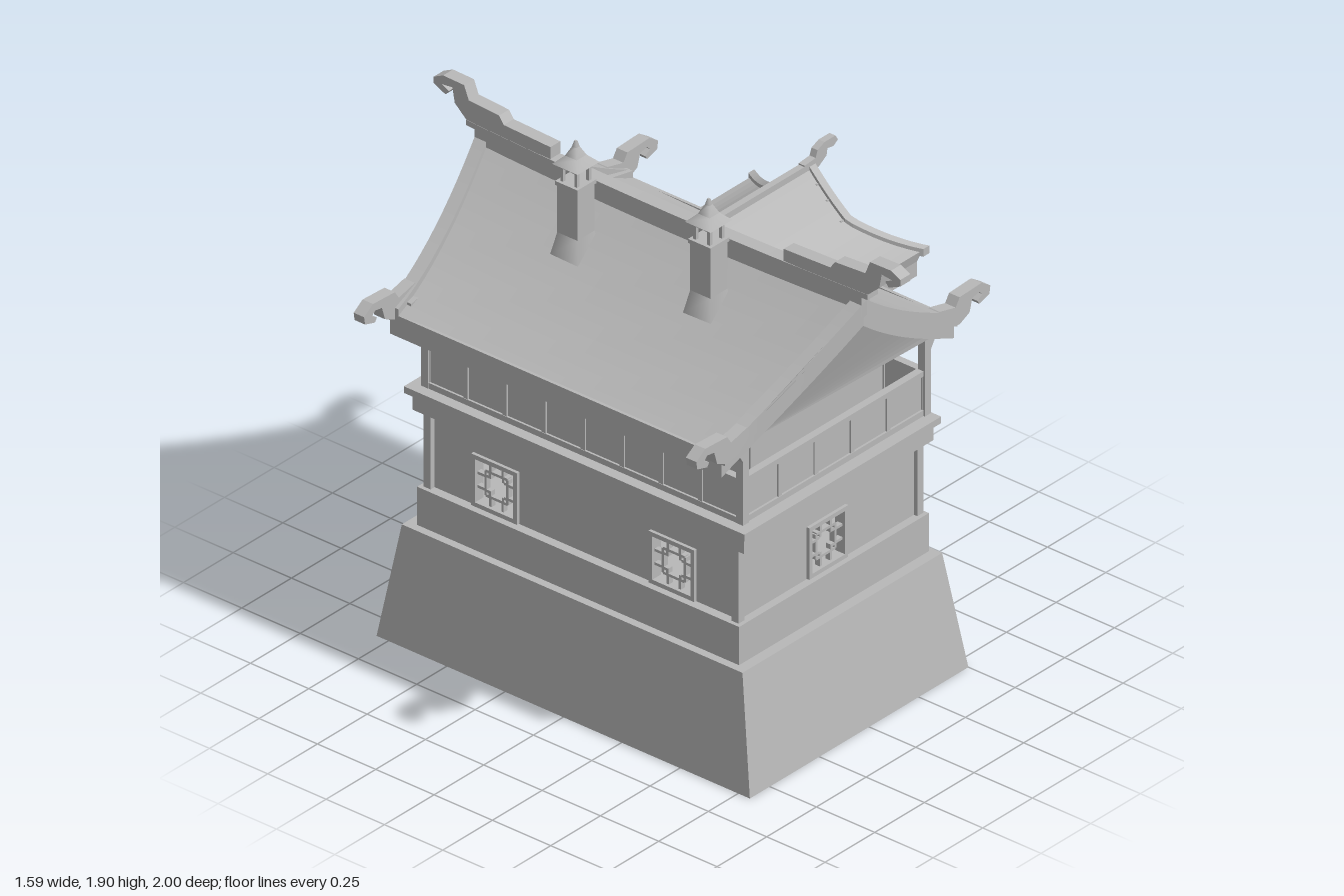
import * as THREE from 'three';

const stone = new THREE.MeshStandardMaterial({ color: 0xb8b8b8, side: THREE.DoubleSide });
stone.name = 'grey stone';
const CX = -0.0525, HALF = 0.585;   // roof centre line and half span

export function createModel() {
  const root = new THREE.Group();
  const add = (name, geo, parent = root) => {
    const m = new THREE.Mesh(geo, stone);
    m.name = name;
    parent.add(m);
    return m;
  };
  // box given by its minimum and maximum corners
  const box = (name, x0, x1, y0, y1, z0, z1, parent) => {
    const m = add(name, new THREE.BoxGeometry(Math.abs(x1 - x0), y1 - y0, Math.abs(z1 - z0)), parent);
    m.position.set((x0 + x1) / 2, (y0 + y1) / 2, (z0 + z1) / 2);
    return m;
  };
  // flat-faced skin through rings of [x, y, z] points
  const loft = (name, rings, closed = true, caps = true) => {
    const p = [], n = rings[0].length;
    for (let i = 0; i + 1 < rings.length; i++)
      for (let j = 0; j < (closed ? n : n - 1); j++) {
        const k = (j + 1) % n, a = rings[i][j], b = rings[i][k], c = rings[i + 1][k], d = rings[i + 1][j];
        p.push(...a, ...b, ...c, ...a, ...c, ...d);
      }
    if (closed && caps)
      for (const r of [[...rings[0]].reverse(), rings[rings.length - 1]])
        for (let j = 1; j + 1 < n; j++) p.push(...r[0], ...r[j], ...r[j + 1]);
    const g = new THREE.BufferGeometry();
    g.setAttribute('position', new THREE.Float32BufferAttribute(p, 3));
    g.computeVertexNormals();
    return add(name, g);
  };
  const steps = (n, f) => Array.from({ length: n + 1 }, (_, i) => f(i / n));
  const rect = (x0, x1, z0, z1, y) => [[x0, y, z0], [x0, y, z1], [x1, y, z1], [x1, y, z0]];
  // wall plate with square holes [u, v, width, height], centred on its thickness
  const plate = (pts, holes = [], depth = 0.03) => {
    const s = new THREE.Shape(pts.map(q => new THREE.Vector2(...q)));
    for (const [u, v, w, h] of holes)
      s.holes.push(new THREE.Path([[-1, -1], [-1, 1], [1, 1], [1, -1]].map(([a, b]) => new THREE.Vector2(u + a * w / 2, v + b * h / 2))));
    return new THREE.ExtrudeGeometry(s, { depth, bevelEnabled: false }).translate(0, 0, -depth / 2);
  };
  const block = (u0, u1, v0, v1) => [[u0, v0], [u1, v0], [u1, v1], [u0, v1]];
  // lattice window in its own XY plane
  const lattice = (x, y, z, w, h, turned) => {
    const g = new THREE.Group();
    g.name = 'latticeWindow';
    const bar = (a, b, c, d, t = 0.01) => box('latticeBar', a, b, c, d, -t, t, g);
    const W = w / 2, H = h / 2, f = 0.016, b = 0.005, iw = W * 0.52, ih = H * 0.52;
    for (const s of [-1, 1]) {
      bar(s * W - f / 2, s * W + f / 2, -H - f / 2, H + f / 2, 0.022);
      bar(-W, W, s * H - f / 2, s * H + f / 2, 0.022);
      bar(s * iw - b, s * iw + b, -ih, ih);
      bar(-iw, iw, s * ih - b, s * ih + b);
      for (const k of [-1, 1]) {
        bar(k * iw * 0.55 - b, k * iw * 0.55 + b, Math.min(s * ih, s * H), Math.max(s * ih, s * H));
        bar(s * iw, s * W, k * ih * 0.55 - b, k * ih * 0.55 + b);
        bar(s * iw * 0.6 - b, s * iw + b, k * ih * 0.6 - b, k * ih * 0.6 + b);
        bar(s * iw * 0.6 - b, s * iw * 0.6 + b, Math.min(k * ih * 0.6, k * ih), Math.max(k * ih * 0.6, k * ih));
      }
    }
    g.position.set(x, y, z);
    if (turned) g.rotation.y = Math.PI / 2;
    root.add(g);
  };

  // sloped foundation, open underneath
  loft('foundation', [rect(-0.6, 0.5, -0.8, 0.8, 0), rect(-0.555, 0.45, -0.73, 0.73, 0.43)], true, false);
  loft('porchFoundation', [rect(0.42, 0.7, -0.235, 0.235, 0), rect(0.4, 0.635, -0.205, 0.205, 0.43)], true, false);
  box('foundationTop', -0.555, 0.45, 0.42, 0.43, -0.73, 0.73);
  box('porchFloor', 0.44, 0.635, 0.42, 0.43, -0.205, 0.205);

  // ground floor
  box('plinth', -0.525, 0.43, 0.43, 0.575, -0.69, 0.69);
  for (const s of [-1, 1]) {
    add('gableWall', plate(block(-0.49, 0.405, 0.57, 0.87), [[CX, 0.675, 0.18, 0.18]])).position.z = s * 0.645;
    lattice(CX, 0.675, s * 0.65, 0.18, 0.18);
    const side = add('sideWall', plate(block(-0.65, 0.65, 0.57, 0.87), [[-0.38, 0.675, 0.18, 0.18], [0.38, 0.675, 0.18, 0.18]]).rotateY(-Math.PI / 2));
    side.position.x = s > 0 ? 0.39 : -0.475;
    for (const z of [-0.38, 0.38]) lattice(side.position.x + s * 0.005, 0.675, z, 0.18, 0.18, true);
    for (const x of [-0.495, 0.405]) box('cornerPost', x - 0.015, x + 0.015, 0.57, 0.87, s * 0.66 - 0.015, s * 0.66 + 0.015);
  }
  box('beltCourse', -0.525, 0.43, 0.86, 0.93, -0.71, 0.71);
  box('balconyFloor', -0.545, 0.445, 0.925, 0.95, -0.73, 0.73);

  // balcony railing, running along x or z
  const rail = (along, at, a, b) => {
    const part = (n, u0, u1, y0, y1, t) => along === 'x' ? box(n, u0, u1, y0, y1, at - t, at + t) : box(n, at - t, at + t, y0, y1, u0, u1);
    part('railPanel', a, b, 0.95, 1.11, 0.006);
    part('topRail', a, b, 1.1, 1.12, 0.014);
    part('bottomRail', a, b, 0.95, 0.972, 0.014);
    const n = Math.max(1, Math.round((b - a) / 0.17));
    for (let i = 0; i <= n; i++) {
      const u = a + (b - a) * i / n;
      part('baluster', u - 0.009, u + 0.009, 0.95, 1.12, 0.012);
    }
  };
  for (const s of [-1, 1]) {
    rail('x', s * 0.67, -0.49, 0.42);
    rail('x', s * 0.175, 0.43, 0.61);
    rail('z', 0.42, s > 0 ? 0.18 : -0.67, s > 0 ? 0.67 : -0.18);
    for (const x of [-0.49, 0.425]) {
      const o = x < 0 ? -1 : 1;
      box('balconyPost', x - 0.015, x + 0.015, 0.95, 1.32, s * 0.675 - 0.015, s * 0.675 + 0.015);
      // stepped bracket below the eave
      add('eaveBracket', plate([[x, 1.16], [x + o * 0.02, 1.2], [x + o * 0.06, 1.26], [x + o * 0.1, 1.28], [x + o * 0.1, 1.31], [x, 1.33]], [], 0.03)).position.z = s * 0.675;
    }
  }
  rail('z', -0.49, -0.67, 0.67);
  rail('z', 0.61, -0.18, 0.18);

  // main roof rules: height and gable overhang
  const roofY = (x, z = 0.8) => {
    const d = Math.abs(x - CX);
    return 1.64 - 0.786 * d + 0.307 * d * d - 0.02 * (1 - (z / 0.8) ** 2);
  };
  const endZ = x => 0.82 - 0.11 * (1 - (1 - Math.min(1, Math.abs(x - CX) / HALF)) ** 1.5);

  // upper room under the roof
  const top = steps(12, t => { const x = 0.285 - 0.665 * t; return [x, roofY(x) - 0.035]; });
  for (const s of [-1, 1]) {
    add('upperGableWall', plate([[-0.38, 0.95], [0.285, 0.95], ...top], [[CX, 1.305, 0.18, 0.165]])).position.z = s * 0.6;
    lattice(CX, 1.305, s * 0.605, 0.18, 0.165);
    const zs = [-0.5, -0.2, 0.2, 0.5], x = s > 0 ? 0.275 : -0.37;
    add('upperSideWall', plate(block(-0.6, 0.6, 0.95, 1.375), zs.map(z => [z, 1.26, 0.18, 0.18])).rotateY(-Math.PI / 2)).position.x = x;
    for (const z of zs) lattice(x + s * 0.005, 1.26, z, 0.18, 0.18, true);
  }

  // main roof skin: closed slab section swept from gable to gable
  const strip = (t, off) => steps(24, u => {
    const x = CX - HALF + 2 * HALF * u, z = (2 * t - 1) * endZ(x);
    return [x, roofY(x, z) + off, z];
  });
  loft('mainRoof', steps(12, t => [...strip(t, 0), ...strip(t, -0.03).reverse()]));
  for (const s of [-1, 1]) {
    const ex = CX + s * (HALF - 0.006);
    box('eaveFascia', ex - 0.006, ex + 0.006, 1.2, 1.28, -0.7, 0.7);
  }

  // bargeboards following the gable curve
  const barge = (name, s, y0, y1, z0, z1) => loft(name, steps(24, u => {
    const x = CX - HALF + 2 * HALF * u, y = roofY(x), z = endZ(x);
    return [[x, y + y0, s * (z + z0)], [x, y + y1, s * (z + z0)], [x, y + y1, s * (z + z1)], [x, y + y0, s * (z + z1)]];
  }));
  const horn = [[-0.13, 1.33], [-0.1, 1.355], [-0.02, 1.335], [0, 1.365], [0.11, 1.37], [0.155, 1.34], [0.15, 1.31], [0.1, 1.295],
    [0.09, 1.31], [0.115, 1.325], [0.1, 1.34], [0.065, 1.335], [0.05, 1.285], [0, 1.262], [-0.06, 1.275]];
  for (const s of [-1, 1]) {
    barge('bargeboard', s, -0.035, 0.02, -0.035, 0.015);
    barge('lowerBargeboard', s, -0.085, -0.03, -0.03, 0);
    for (const o of [-1, 1])
      add('eaveHorn', plate(horn.map(([u, y]) => [CX + o * (HALF + u), y]), [], 0.045)).position.z = s * 0.712;
  }

  // ridge with raised horned ends
  const ridge = (name, w, y0, y1, L) => loft(name, steps(12, t => {
    const z = L * (2 * t - 1), d = -0.018 * (1 - (z / L) ** 2);
    return [[CX - w, y0 + d, z], [CX - w, y1 + d, z], [CX + w, y1 + d, z], [CX + w, y0 + d, z]];
  }));
  ridge('ridgeBeam', 0.02, 1.6, 1.685, 0.83);
  ridge('ridgeCap', 0.026, 1.68, 1.7, 0.86);
  const ridgeHorn = [[0.5, 1.69], [0.5, 1.735], [0.7, 1.742], [0.72, 1.77], [0.85, 1.778], [0.87, 1.828], [0.96, 1.83], [1, 1.81], [1, 1.785],
    [0.95, 1.762], [0.935, 1.78], [0.965, 1.795], [0.92, 1.8], [0.91, 1.745], [0.86, 1.7], [0.8, 1.69]];
  for (const s of [-1, 1])
    add('ridgeHorn', plate(ridgeHorn.map(([z, y]) => [s * z, y]), [], 0.05).rotateY(-Math.PI / 2)).position.x = CX;

  // chimneys with open lantern tops
  for (const z of [-0.285, 0.285]) {
    const x = -0.202, c = (n, r, y0, y1) => box(n, x - r, x + r, y0, y1, z - r, z + r);
    const cone = (n, r0, r1, y, h) => add(n, new THREE.CylinderGeometry(r1 * Math.SQRT2, r0 * Math.SQRT2, h, 4).toNonIndexed().rotateY(Math.PI / 4)).position.set(x, y + h / 2, z);
    c('chimneyShaft', 0.043, 1.42, 1.74);
    cone('chimneySkirt', 0.06, 0.043, 1.47, 0.085);
    c('chimneyLip', 0.048, 1.735, 1.75);
    for (const a of [-1, 1]) for (const b of [-1, 1])
      box('lanternPost', x + a * 0.03 - 0.006, x + a * 0.03 + 0.006, 1.75, 1.815, z + b * 0.03 - 0.006, z + b * 0.03 + 0.006);
    c('lanternBeam', 0.038, 1.8, 1.82);
    cone('chimneyEave', 0.055, 0.025, 1.815, 0.03);
    cone('chimneyCap', 0.025, 0.008, 1.845, 0.035);
    cone('chimneyFinial', 0.009, 0.004, 1.878, 0.022);
  }

  // porch: walls, doors, columns
  for (const s of [-1, 1]) {
    box('porchSideWall', 0.4, 0.59, 0.43, 0.95, s * 0.15, s * 0.175);
    box('porchPlinth', 0.42, 0.595, 0.43, 0.575, s * 0.15, s * 0.182);
    box('porchColumn', 0.588, 0.635, 0.43, 1.21, s * 0.16, s * 0.2);
    box('doorFrame', 0.57, 0.6, 0.43, 0.9, s * 0.13, s * 0.165);
    box('doorLeaf', 0.57, 0.588, 0.43, 0.88, s * 0.002, s * 0.135);
    lattice(0.582, 0.74, s * 0.067, 0.1, 0.19, true);
  }
  box('doorLintel', 0.565, 0.605, 0.87, 0.95, -0.17, 0.17);
  box('porchBalconyFloor', 0.42, 0.62, 0.93, 0.955, -0.185, 0.185);
  box('porchEaveSlab', 0.43, 0.765, 1.195, 1.27, -0.355, 0.355);

  // porch roof: two concave slopes meeting the main roof, and a front apron
  const porchY = z => 1.54 - 1.132 * Math.abs(z) + 1.215 * z * z;
  const frontX = z => 0.64 + 0.14 * Math.max(0, (Math.abs(z) - 0.17) / 0.195);
  for (const s of [-1, 1]) {
    loft('porchRoofSlope', steps(12, t => {
      const z = 0.365 * t;
      return steps(4, u => [THREE.MathUtils.lerp(0.08 + 0.44 * t, frontX(z), u), porchY(z), s * z]);
    }), false);
    loft('porchRoofEdge', [[0.53, 0.78].map(x => [x, porchY(0.365), s * 0.365]), [0.53, 0.765].map(x => [x, 1.25, s * 0.355])], false);
    // ridge strip down the gable and along the hip
    loft('porchHipRidge', steps(16, t => {
      const z = 0.375 * t, x = frontX(z), y = porchY(z);
      return [[x - 0.015, y - 0.015, s * z], [x - 0.015, y + 0.014, s * z], [x + 0.015, y + 0.014, s * z], [x + 0.015, y - 0.015, s * z]];
    }));
    for (const z of [0.045, 0.09]) box('gableRib', 0.615, 0.635, 1.38, porchY(z), s * z - 0.006, s * z + 0.006);
  }
  loft('porchApron', steps(5, t => {
    const hw = 0.17 + 0.195 * t;
    return [-1, 1].map(s => [frontX(hw), porchY(hw), s * hw]);
  }), false);
  loft('porchApronEdge', [[-0.365, 0.365].map(z => [0.78, porchY(z), z]), [-0.355, 0.355].map(z => [0.765, 1.25, z])], false);
  add('porchGable', plate([[-0.17, 1.36], [0.17, 1.36], ...steps(12, t => { const z = 0.17 - 0.34 * t; return [z, porchY(z) - 0.005]; })], [], 0.012).rotateY(-Math.PI / 2)).position.x = 0.612;
  box('gableSill', 0.61, 0.65, 1.375, 1.395, -0.16, 0.16);
  box('gableKingPost', 0.612, 0.638, 1.38, 1.53, -0.01, 0.01);
  box('porchRidge', 0.08, 0.665, 1.515, 1.55, -0.012, 0.012);
  const porchHorn = [[0.6, 1.53], [0.6, 1.555], [0.655, 1.56], [0.665, 1.585], [0.7, 1.6], [0.755, 1.6], [0.768, 1.58], [0.745, 1.565], [0.715, 1.57], [0.71, 1.545], [0.67, 1.52]];
  add('porchRidgeHorn', plate(porchHorn, [], 0.026));
  return root;
}
